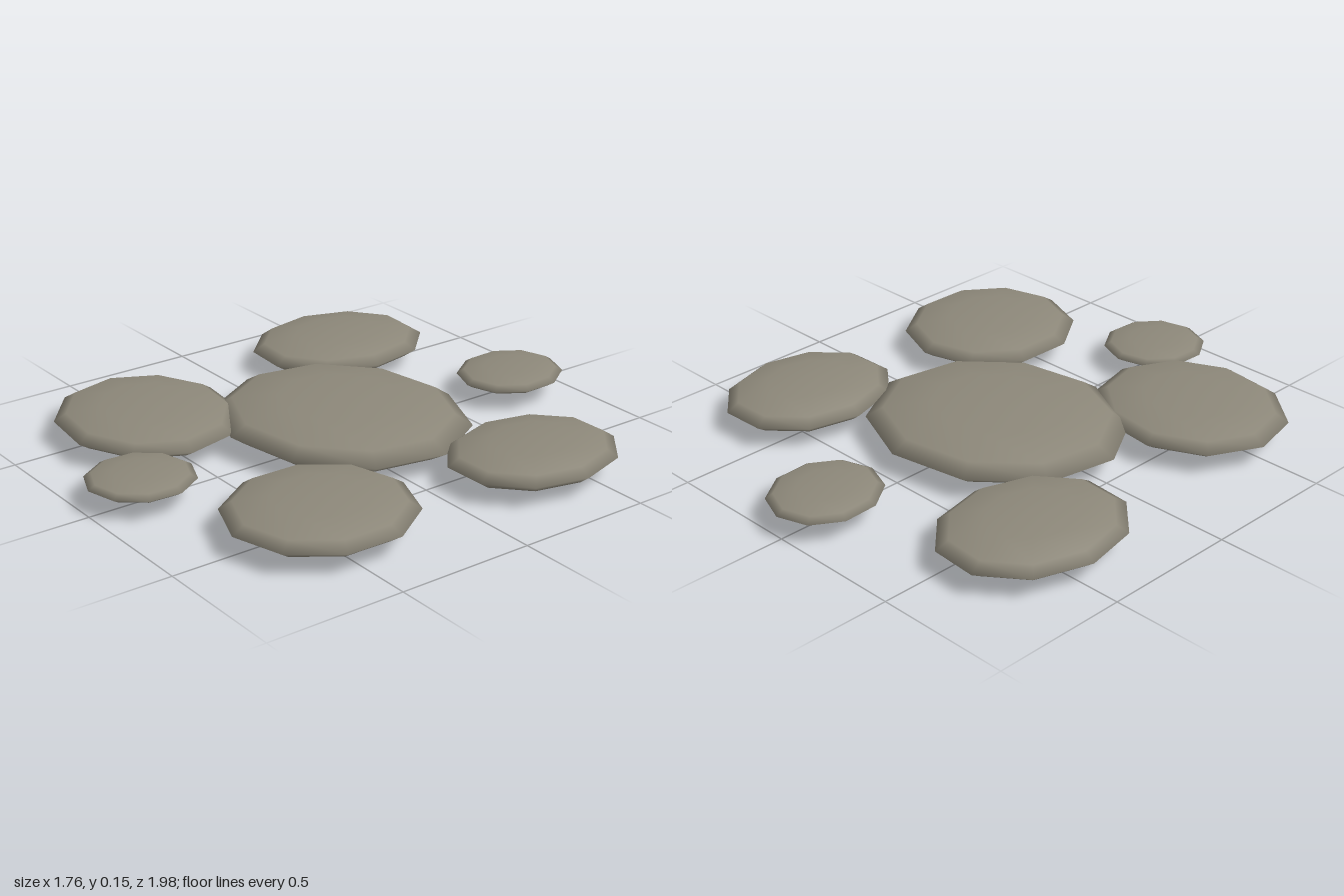
import * as THREE from 'three';

// Flat stepping stones: [name, x, z, radiusX, radiusY, radiusZ, yaw]
const STONES = [
  ['centreStone', -0.024, -0.047, 0.482, 0.077, 0.424, 0.17],
  ['backRightStone', -0.6, -0.46, 0.285, 0.057, 0.345, -0.07],
  ['backLeftStone', 0.606, -0.375, 0.268, 0.057, 0.325, 0.03],
  ['frontLeftStone', 0.525, 0.457, 0.32, 0.057, 0.335, 0.28],
  ['frontRightStone', -0.438, 0.504, 0.366, 0.057, 0.323, -0.12],
  ['smallBackStone', 0.025, -0.79, 0.19, 0.033, 0.214, 0.32],
  ['smallFrontStone', -0.018, 0.79, 0.188, 0.031, 0.193, 0.25],
];

export function createModel() {
  const group = new THREE.Group();
  group.name = 'steppingStones';
  const stone = new THREE.MeshStandardMaterial({ color: 0x8c8779 });
  stone.name = 'stone grey';

  // Each stone is a coarse, smooth-shaded pebble squashed flat
  const pebble = new THREE.SphereGeometry(1, 10, 6);
  for (const [name, x, z, rx, ry, rz, yaw] of STONES) {
    const mesh = new THREE.Mesh(pebble, stone);
    mesh.name = name;
    mesh.position.set(x, 0.083, z);
    mesh.scale.set(rx, ry, rz);
    mesh.rotation.y = yaw;
    group.add(mesh);
  }
  return group;
}
